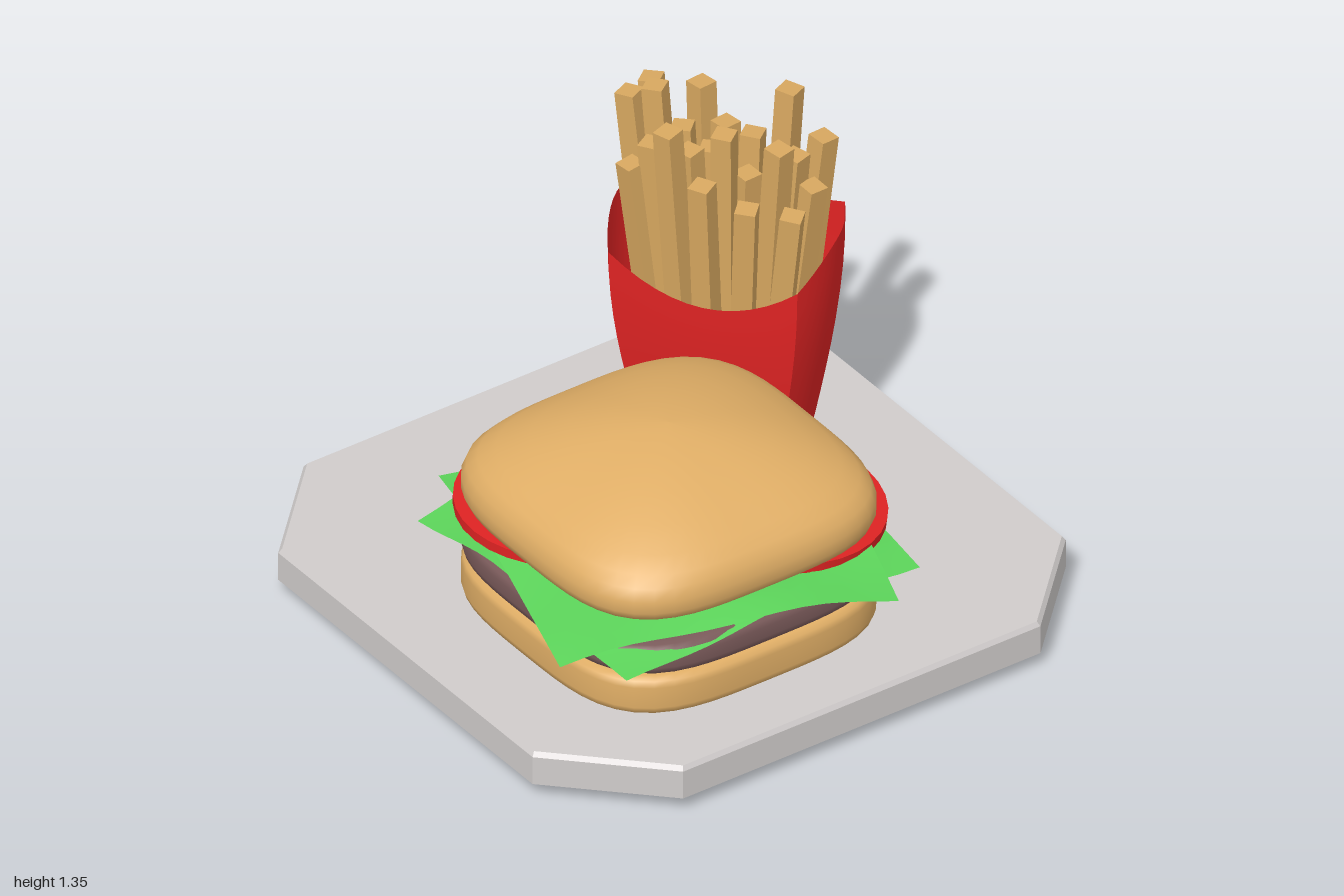
import * as THREE from 'three';
import { toCreasedNormals } from 'three/addons/utils/BufferGeometryUtils.js';

const paint = (name, color, side = THREE.FrontSide) =>
  Object.assign(new THREE.MeshStandardMaterial({ color, side }), { name });

function part(name, geometry, material, parent) {
  const mesh = new THREE.Mesh(geometry, material);
  mesh.name = name;
  parent.add(mesh);
  return mesh;
}

// Surface through a grid of points: rows x columns, optionally closed around
function surface(rows, closed) {
  const n = rows[0].length, index = [];
  for (let i = 0; i < rows.length - 1; i++) {
    for (let j = 0; j < (closed ? n : n - 1); j++) {
      const k = (j + 1) % n;
      const a = i * n + j, b = i * n + k, c = b + n, d = a + n;
      index.push(a, d, b, b, d, c);
    }
  }
  const g = new THREE.BufferGeometry();
  g.setAttribute('position', new THREE.Float32BufferAttribute(rows.flat(2), 3));
  g.setIndex(index);
  g.computeVertexNormals();
  return g;
}

// Rounded-square cross-sections, profile = [scale, y, squareness], bottom to top
function roundedStack(profile, half, n = 64) {
  return surface(profile.map(([s, y, e = 3.6]) =>
    Array.from({ length: n }, (_, j) => {
      const t = (j / n) * Math.PI * 2, c = Math.cos(t), d = Math.sin(t);
      const r = half * s / Math.pow(Math.abs(c) ** e + Math.abs(d) ** e, 1 / e);
      return [c * r, y, d * r];
    })), true);
}

const puck = (y0, y1) => roundedStack([
  [0, y0], [0.9, y0], [0.96, y0 + 0.003], [0.99, y0 + 0.014], [1, y0 + 0.035],
  [1, y1 - 0.035], [0.99, y1 - 0.014], [0.96, y1 - 0.003], [0.9, y1], [0, y1]], 0.55);

// Wavy square leaf with drooping corners
function leaf(y, phase) {
  const g = new THREE.PlaneGeometry(1.1, 1.1, 14, 14).rotateX(-Math.PI / 2);
  const p = g.attributes.position;
  for (let i = 0; i < p.count; i++) {
    const x = p.getX(i), z = p.getZ(i);
    const wave = 0.018 * Math.sin(9 * x + phase) * Math.cos(8 * z + 2 * phase);
    p.setY(i, y + wave - 0.18 * Math.max(0, Math.hypot(x, z) - 0.5));
  }
  g.computeVertexNormals();
  return g;
}

export function createModel() {
  const model = new THREE.Group();
  model.name = 'burgerMeal';
  const plateGrey = paint('plateGrey', 0xd0cccb);
  const bunTan = paint('bunTan', 0xe0ae66);
  const fryTan = paint('fryTan', 0xd8a860);
  const pattyBrown = paint('pattyBrown', 0x7a5a5a);
  const leafGreen = paint('leafGreen', 0x5cd45a, THREE.DoubleSide);
  const red = paint('red', 0xdf2323, THREE.DoubleSide);

  // Octagonal plate with a shallow tapered underside
  const octagon = [[1, -0.67], [1, 0.67], [0.67, 1], [-0.67, 1],
    [-1, 0.67], [-1, -0.67], [-0.67, -1], [0.67, -1]];
  const plateRows = [[0, 0], [0.35, 0], [1, 0.05], [1, 0.15], [0.99, 0.165], [0, 0.165]]
    .map(([s, y]) => octagon.map(([x, z]) => [x * s, y, z * s]));
  part('plate', toCreasedNormals(surface(plateRows, true), 0.5), plateGrey, model);

  // Burger stack
  const burger = new THREE.Group();
  burger.name = 'burger';
  burger.position.set(-0.183, 0, 0.24);
  model.add(burger);
  part('bottomBun', puck(0.165, 0.308), bunTan, burger);
  part('patty', puck(0.312, 0.42), pattyBrown, burger);
  part('lowerLettuce', leaf(0.432, 0.6), leafGreen, burger);
  part('upperLettuce', leaf(0.447, 2.1), leafGreen, burger).rotation.y = -0.275;

  const slice = new THREE.CylinderGeometry(0.35, 0.35, 0.032, 32);
  part('flatTomato', slice, red, burger).position.set(-0.21, 0.491, -0.24);
  const tilted = part('tiltedTomato', slice, red, burger);
  tilted.position.set(0.31, 0.467, 0.12);
  tilted.rotation.set(0.075, 0, -0.1);

  part('topBun', roundedStack([
    [0, 0.503], [0.88, 0.503], [0.94, 0.507], [0.98, 0.522], [1, 0.55], [1, 0.59],
    [0.975, 0.63], [0.93, 0.66, 3.4], [0.85, 0.695, 3.2], [0.7, 0.738, 3],
    [0.52, 0.776, 2.8], [0.33, 0.804, 2.5], [0.15, 0.82, 2.2], [0, 0.824, 2]], 0.55), bunTan, burger);

  // Fry carton: four flared walls, one scooped low
  const carton = new THREE.Group();
  carton.name = 'fryCarton';
  carton.position.set(0.55, 0, -0.485);
  carton.rotation.y = -0.99;
  model.add(carton);
  const L = 0.31, W = 0.2, base = 0.165;
  const bow = (t) => 1 - t * t;
  const endRim = (t) => 0.8 + 0.085 * Math.sin(Math.min(1, (1 - t) / 1.1) * Math.PI / 2);
  // Each wall maps t in -1..1 to [x, z, rim height]
  const walls = {
    scoopedWall: (t) => [-t * L, W, 0.8 - 0.13 * bow(t)],
    farEndWall: (t) => [-L - 0.05 * bow(t), -t * W, endRim(-t)],
    tallWall: (t) => [t * L, -W + 0.03 * bow(t), 0.885],
    nearEndWall: (t) => [L + 0.05 * bow(t), t * W, endRim(t)],
  };
  const floor = [];
  for (const [name, edge] of Object.entries(walls)) {
    const cols = Array.from({ length: 13 }, (_, j) => edge(j / 6 - 1));
    const rows = Array.from({ length: 9 }, (_, i) => {
      const f = i / 8, s = 0.75 + 0.25 * Math.sin(f * Math.PI / 2);
      return cols.map(([x, z, rim]) => [x * s, base + f * (rim - base), z * s]);
    });
    part(name, surface(rows, false), red, carton);
    floor.push(...rows[0].slice(0, -1).map(([x, , z]) => new THREE.Vector2(x, z)));
  }
  const floorShape = new THREE.ShapeGeometry(new THREE.Shape(floor)).rotateX(Math.PI / 2);
  part('cartonFloor', floorShape, red, carton).position.y = base + 0.004;

  // Fries: [x, z, height] of each tip, fanning out from the carton
  const fries = new THREE.Group();
  fries.name = 'fries';
  model.add(fries);
  const tips = [
    [0.38, -0.76, 1.27], [0.47, -0.77, 1.28], [0.30, -0.64, 1.1], [0.42, -0.68, 1.32],
    [0.35, -0.6, 1.18], [0.58, -0.66, 1.28], [0.48, -0.62, 1.18], [0.34, -0.5, 1.28],
    [0.42, -0.5, 1.18], [0.51, -0.51, 1.15], [0.6, -0.56, 1.18], [0.39, -0.39, 1.12],
    [0.48, -0.4, 1.27], [0.56, -0.39, 1.1], [0.66, -0.5, 1.15], [0.72, -0.39, 1.35],
    [0.79, -0.31, 1.19], [0.48, -0.28, 1.06], [0.58, -0.25, 1.26], [0.67, -0.29, 1.18],
    [0.58, -0.18, 1.05], [0.7, -0.24, 1.08]];
  const up = new THREE.Vector3(0, 1, 0);
  tips.forEach(([x, z, h], i) => {
    const tip = new THREE.Vector3(x, h - 0.005, z);
    const foot = new THREE.Vector3(0.55 + (x - 0.55) * 0.68, 0.3, -0.485 + (z + 0.485) * 0.68);
    const dir = tip.clone().sub(foot), length = dir.length();
    const fry = part('fry', new THREE.BoxGeometry(0.066, length, 0.066), fryTan, fries);
    fry.position.copy(tip).add(foot).multiplyScalar(0.5);
    fry.quaternion.setFromUnitVectors(up, dir.normalize());
    fry.rotateY(0.4 + 0.35 * Math.sin(i * 2.3));
  });

  return model;
}
